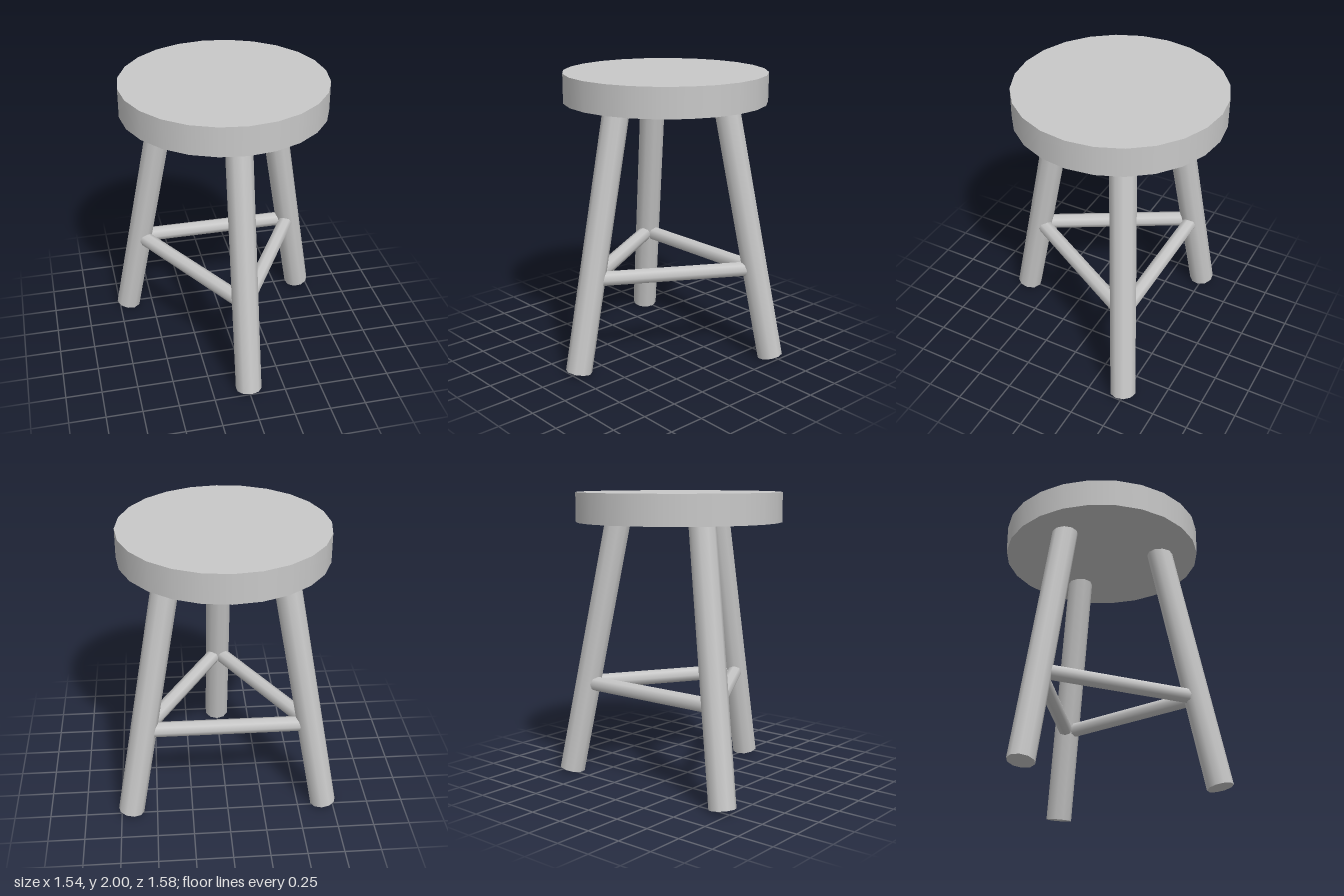
import * as THREE from 'three';

const grey = new THREE.MeshStandardMaterial({ color: 0xc8c8c8 });
grey.name = 'plain grey';

// Straight round rod between two points
function rod(name, from, to, radius, sides) {
  const a = new THREE.Vector3(...from);
  const b = new THREE.Vector3(...to);
  const dir = b.clone().sub(a);
  const mesh = new THREE.Mesh(
    new THREE.CylinderGeometry(radius, radius, dir.length(), sides), grey);
  mesh.name = name;
  mesh.position.copy(a).add(b).multiplyScalar(0.5);
  mesh.quaternion.setFromUnitVectors(new THREE.Vector3(0, 1, 0), dir.normalize());
  return mesh;
}

export function createModel() {
  const stool = new THREE.Group();
  stool.name = 'stool';

  // Everything is arranged around the seat axis
  const body = new THREE.Group();
  body.name = 'body';
  body.position.z = -0.09;
  stool.add(body);

  // Round seat
  const seat = new THREE.Mesh(new THREE.CylinderGeometry(0.7, 0.7, 0.2, 24), grey);
  seat.name = 'seat';
  seat.position.y = 1.9;
  body.add(seat);

  // Three splayed legs, each with the rung opposite it
  const rungRadius = 0.66; // distance of the leg axes from the centre at rung height
  const halfRung = rungRadius * Math.sin(Math.PI / 3);
  ['front', 'left', 'right'].forEach((side, i) => {
    const third = new THREE.Group();
    third.name = side + 'LegAndRung';
    third.rotation.y = i * Math.PI * 2 / 3;
    third.add(rod(side + 'Leg', [0, 0.018, 0.787], [0, 1.88, 0.413], 0.09, 10));
    third.add(rod('rungOpposite' + side[0].toUpperCase() + side.slice(1) + 'Leg',
      [-halfRung, 0.657, -rungRadius / 2], [halfRung, 0.657, -rungRadius / 2], 0.0525, 8));
    body.add(third);
  });

  return stool;
}
